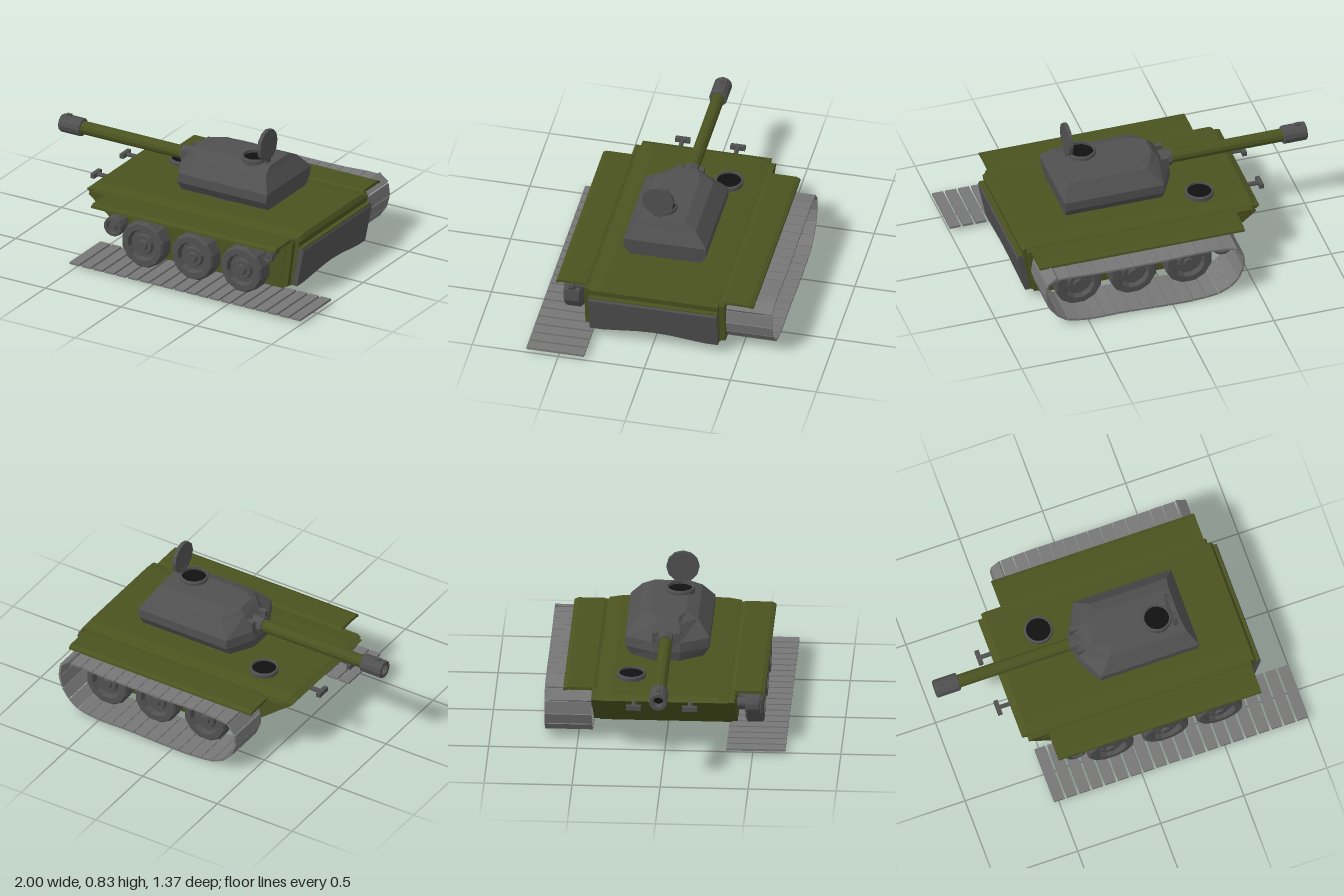
import * as THREE from 'three';

const CZ = -0.007; // centre line of hull and turret
const mat = (color) => new THREE.MeshStandardMaterial({ color, flatShading: true, side: THREE.DoubleSide });

export function createModel() {
  const root = new THREE.Group();
  const green = mat(0x4b5320), dark = mat(0x505050), steel = mat(0x777777), black = mat(0x111111);

  const add = (name, geo, material, x = 0, y = 0, z = 0, parent = root) => {
    const m = new THREE.Mesh(geo, material);
    m.name = name;
    m.position.set(x, y, z);
    parent.add(m);
    return m;
  };
  const box = (name, material, w, h, d, x, y, z) => add(name, new THREE.BoxGeometry(w, h, d), material, x, y, z);
  const rod = (name, material, r, len, x, y, z, axis, sides = 12, open = false) => {
    const g = new THREE.CylinderGeometry(r, r, len, sides, 1, open);
    if (axis === 'x') g.rotateZ(Math.PI / 2);
    if (axis === 'z') g.rotateX(Math.PI / 2);
    return add(name, g, material, x, y, z);
  };
  // Skin over equal rings, each counter-clockwise about the direction of travel
  const loft = (rings) => {
    const p = [], n = rings[0].length, last = rings[rings.length - 1];
    const tri = (...v) => v.forEach((q) => p.push(...q));
    for (let i = 0; i + 1 < rings.length; i++) {
      for (let j = 0; j < n; j++) {
        const k = (j + 1) % n, a = rings[i], b = rings[i + 1];
        tri(a[j], a[k], b[k]);
        tri(a[j], b[k], b[j]);
      }
    }
    for (let j = 1; j + 1 < n; j++) {
      tri(rings[0][0], rings[0][j + 1], rings[0][j]);
      tri(last[0], last[j], last[j + 1]);
    }
    const g = new THREE.BufferGeometry();
    g.setAttribute('position', new THREE.Float32BufferAttribute(p, 3));
    g.computeVertexNormals();
    return g;
  };
  const extrude = (pts, depth) => new THREE.ExtrudeGeometry(
    new THREE.Shape(pts.map(([x, y]) => new THREE.Vector2(x, y))), { depth, bevelEnabled: false });

  // Hull: side profile carried across, belly raised along the middle
  const across = [-0.375, -0.3, -0.2, -0.1, 0, 0.1, 0.2, 0.3, 0.375];
  const rise = (z) => 0.02 * Math.max(0, Math.cos(z * Math.PI / 0.54));
  add('hull', loft(across.map((z) => {
    const b = rise(z), top = Math.abs(z) > 0.35 ? 0.362 : 0.375;
    return [[-0.25, 0.075], [-0.13, 0.033 + b], [0.68, 0.033 + b], [0.755, 0.075 + b], [0.80, 0.35], [0.785, top],
      [-0.57, top], [-0.61, 0.355]].map(([x, y]) => [x, y, z]);
  })), green, 0, 0, CZ);
  add('bellyPlate', loft(across.map((z) => {
    const y = 0.029 + rise(z), w = z * 0.97;
    return [[-0.12, y], [0.675, y], [0.675, y + 0.01], [-0.12, y + 0.01]].map(([a, b]) => [a, b, w]);
  })), dark, 0, 0, CZ);

  // Sloped rear plate with a curved lower edge
  add('rearPlate', loft(across.map((z) => {
    const b = 0.07 + rise(z) * 1.5, w = z * 0.995;
    return [[0.755, b], [0.783 + rise(z) * 0.3, b], [0.828, 0.295], [0.82, 0.31], [0.79, 0.31]].map(([x, y]) => [x, y, w]);
  })), dark, 0, 0, CZ);
  box('rearPlateTrim', green, 0.03, 0.006, 0.74, 0.807, 0.312, CZ);

  // Wheel profile: radius, distance outwards
  const wheelProfile = [[0, 0], [0.12, 0], [0.14, 0.012], [0.14, 0.092], [0.13, 0.105], [0.095, 0.105], [0.085, 0.075],
    [0.062, 0.075], [0.056, 0.092], [0.032, 0.092], [0.026, 0.105], [0, 0.105]];
  const wheel = (name, s, x, y, r, depth, inner) => {
    const g = new THREE.LatheGeometry(
      wheelProfile.map(([a, b]) => new THREE.Vector2(a * r / 0.14, b * depth / 0.105)), 12);
    g.rotateY(Math.PI / 12);
    g.rotateX(s * Math.PI / 2);
    add(name, g, dark, x, y, CZ + s * inner);
  };

  for (const s of [1, -1]) {
    // Side armour and fender
    const side = extrude([[-0.25, 0.08], [0.74, 0.075], [0.775, 0.345], [0.765, 0.36], [-0.56, 0.36], [-0.58, 0.345]], 0.035);
    add('sidePlate', side, green, 0, 0, CZ + (s > 0 ? 0.372 : -0.407));
    const inset = extrude([[-0.22, 0.1], [0.70, 0.1], [0.735, 0.33], [-0.5, 0.33]], 0.006);
    add('sidePanel', inset, green, 0, 0, CZ + (s > 0 ? 0.404 : -0.41));
    const fender = extrude([[0.385, 0.345], [0.385, 0.36], [0.4, 0.367], [0.55, 0.367], [0.572, 0.357], [0.574, 0.345],
      [0.562, 0.345], [0.545, 0.35], [0.42, 0.35], [0.4, 0.345]].map(([z, y]) => [-s * z, y]), 1.22);
    fender.rotateY(Math.PI / 2);
    add('fender', fender, green, -0.46, 0, CZ);

    // Road wheels, idler and sprocket on their axles
    for (const x of [-0.135, 0.195, 0.52]) {
      wheel('roadWheel', s, x, 0.18, 0.14, 0.105, 0.45);
      rod('roadWheelAxle', dark, 0.07, 0.06, x, 0.18, CZ + s * 0.428, 'z');
    }
    wheel('frontIdler', s, -0.34, 0.24, 0.06, 0.08, 0.46);
    rod('frontIdlerAxle', dark, 0.03, 0.08, -0.34, 0.24, CZ + s * 0.43, 'z');
    wheel('rearSprocket', s, 0.67, 0.282, 0.038, 0.035, 0.48);
    rod('rearSprocketAxle', dark, 0.022, 0.1, 0.67, 0.282, CZ + s * 0.44, 'z');

    // Front lamps
    const lz = CZ - 0.002 + s * 0.16;
    rod('lampStem', dark, 0.013, 0.11, -0.62, 0.348, lz, 'x', 8);
    box('lamp', dark, 0.025, 0.028, 0.085, -0.678, 0.348, lz);
  }

  // Fitted track: links following a closed curve
  const path = new THREE.CatmullRomCurve3([[-0.42, 0.22], [-0.38, 0.1], [-0.29, 0.035], [-0.13, 0.012], [0.05, 0.013],
    [0.3, 0.022], [0.52, 0.025], [0.65, 0.06], [0.735, 0.16], [0.75, 0.27], [0.715, 0.33], [0.64, 0.338], [0.45, 0.33],
    [0.1, 0.328], [-0.25, 0.332], [-0.38, 0.305]].map(([x, y]) => new THREE.Vector3(x, y, 0)), true, 'centripetal');
  const links = 36, pitch = path.getLength() / links;
  const track = new THREE.Group();
  track.name = 'fittedTrack';
  root.add(track);
  const link = new THREE.BoxGeometry(pitch * 0.95, 0.012, 0.268);
  for (let i = 0; i < links; i++) {
    const p = path.getPointAt(i / links), t = path.getTangentAt(i / links);
    add('trackLink', link, steel, p.x, p.y, -0.554, track).rotation.z = Math.atan2(t.y, t.x);
  }

  // Loose track laid out flat on the other side
  const flat = new THREE.Group();
  flat.name = 'looseTrack';
  root.add(flat);
  const slat = new THREE.BoxGeometry(0.064, 0.013, 0.335);
  for (let i = 0; i < 20; i++) add('trackSlat', slat, steel, -0.498 + i * 0.0771, 0.032, 0.518, flat);

  // Open hatch rims with a dark inside
  const hatch = (name, x, y, z, r, h) => {
    const rim = [[r - 0.012, 0], [r, 0], [r, h * 0.8], [r - 0.004, h], [r - 0.012, h], [r - 0.012, 0]];
    add(name + 'Rim', new THREE.LatheGeometry(rim.map(([a, b]) => new THREE.Vector2(a, b)), 16), dark, x, y, z);
    rod(name + 'Opening', black, r - 0.012, 0.008, x, y + h * 0.45, z, 'y', 16);
  };
  hatch('driverHatch', -0.31, 0.372, -0.2, 0.083, 0.03);

  // Turret: stacked outlines (y, nose x, nose half width, shoulder x, rear x, half width)
  rod('turretRing', dark, 0.155, 0.05, 0.155, 0.392, CZ, 'y', 16);
  const outlines = [[0.41, -0.165, 0.07, -0.085, 0.49, 0.205], [0.465, -0.175, 0.075, -0.09, 0.497, 0.24],
    [0.52, -0.165, 0.075, -0.085, 0.505, 0.24], [0.605, -0.1, 0.07, -0.01, 0.455, 0.17], [0.635, -0.07, 0.06, 0.02, 0.44, 0.1]];
  add('turret', loft(outlines.map(([y, fx, fw, sx, rx, w]) =>
    [[fx, fw], [sx, w], [rx, w], [rx, -w], [sx, -w], [fx, -fw]].map(([x, z]) => [x, y, z]))), dark, 0, 0, CZ);

  // Turret hatch with its raised lid
  hatch('turretHatch', 0.315, 0.615, 0.045, 0.084, 0.042);
  rod('hatchLid', dark, 0.094, 0.022, 0.398, 0.742, 0.055, 'x');
  box('hatchHinge', dark, 0.025, 0.05, 0.045, 0.398, 0.655, 0.055);

  // Gun
  const gz = -0.012;
  rod('barrel', green, 0.038, 0.74, -0.5, 0.53, gz, 'x');
  rod('mantlet', dark, 0.05, 0.12, -0.135, 0.53, gz, 'x', 8);
  for (const s of [1, -1]) box('mantletBracket', dark, 0.08, 0.09, 0.03, -0.125, 0.535, gz + s * 0.065);
  const muzzle = [[0.032, 0.06], [0.032, 0], [0.05, 0], [0.053, 0.006], [0.053, 0.135], [0.049, 0.14], [0.036, 0.14]];
  const mg = new THREE.LatheGeometry(muzzle.map(([a, b]) => new THREE.Vector2(a, b)), 12);
  mg.rotateZ(-Math.PI / 2);
  add('muzzle', mg, dark, -1, 0.53, gz);
  rod('bore', black, 0.032, 0.01, -0.94, 0.53, gz, 'x');
  box('muzzleSight', dark, 0.03, 0.015, 0.02, -0.955, 0.585, gz);

  return root;
}
